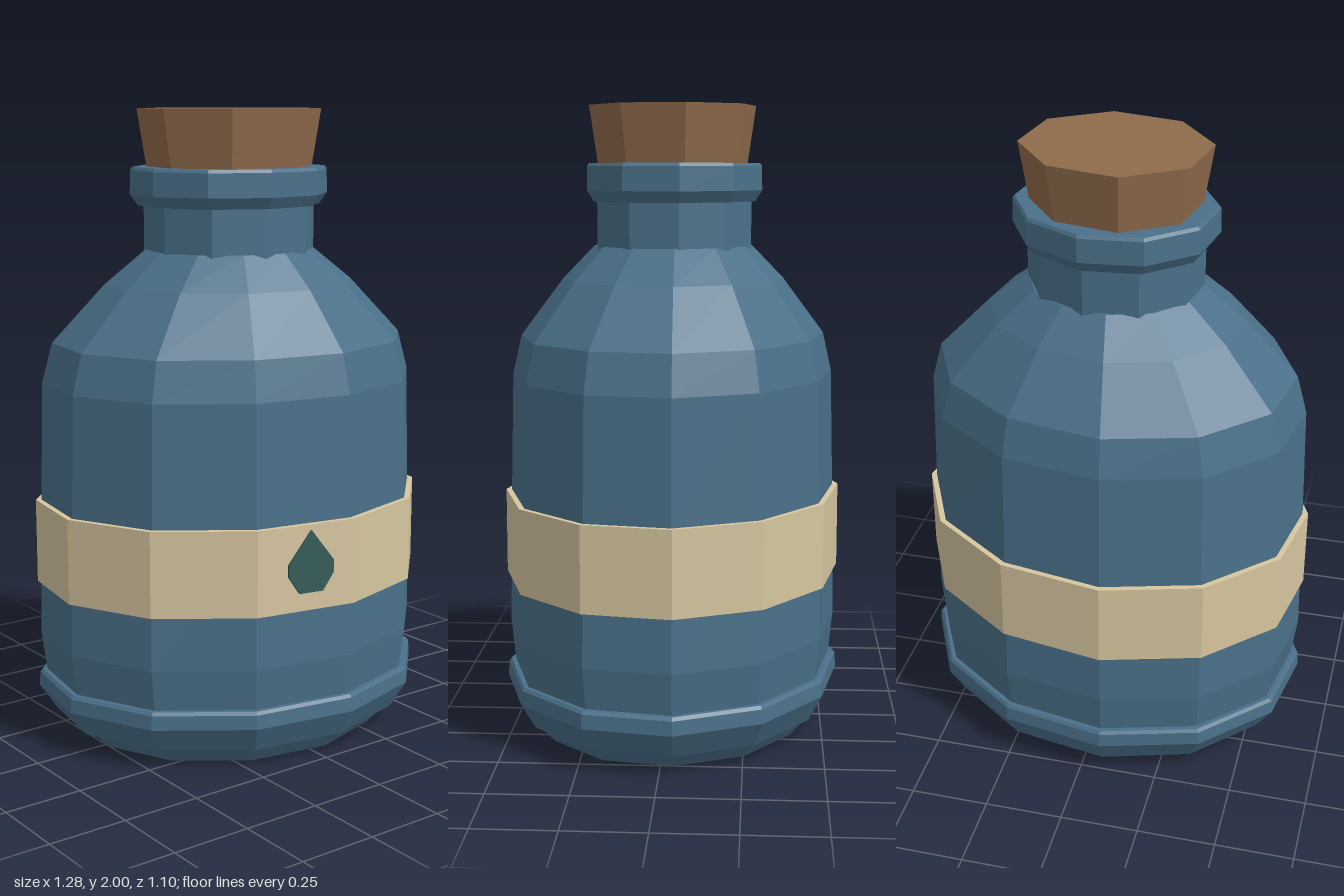
import * as THREE from 'three';

const mat = (name, color) => {
  const m = new THREE.MeshStandardMaterial({ color, flatShading: true });
  m.name = name;
  return m;
};

// Closed faceted solid through elliptical rings [y, radiusX, radiusZ], listed bottom to top.
function loft(rings, sides, offset) {
  const pos = [];
  const pt = ([y, rx, rz], i) => {
    const a = ((i + offset) / sides) * Math.PI * 2;
    return [Math.sin(a) * rx, y, Math.cos(a) * rz];
  };
  const first = rings[0], last = rings[rings.length - 1];
  for (let i = 0; i < sides; i++) {
    for (let k = 0; k < rings.length - 1; k++) {
      const a = pt(rings[k], i), b = pt(rings[k], i + 1);
      const c = pt(rings[k + 1], i + 1), d = pt(rings[k + 1], i);
      pos.push(...a, ...b, ...c, ...a, ...c, ...d);
    }
    pos.push(0, first[0], 0, ...pt(first, i + 1), ...pt(first, i));
    pos.push(0, last[0], 0, ...pt(last, i), ...pt(last, i + 1));
  }
  const g = new THREE.BufferGeometry();
  g.setAttribute('position', new THREE.Float32BufferAttribute(pos, 3));
  g.computeVertexNormals();
  return g;
}

export function createModel() {
  const glass = mat('blue glass', 0x4a7089);
  const cork = mat('brown cork', 0x8f6b4b);
  const paper = mat('cream label', 0xd6c69f);
  const teal = mat('dark teal', 0x365c5a);

  const model = new THREE.Group();
  model.name = 'bottle';
  const bottle = new THREE.Group();
  bottle.name = 'turnedBottle';
  bottle.rotation.y = -0.17;
  bottle.position.z = -0.0115;
  model.add(bottle);

  const add = (name, geometry, material) => {
    const m = new THREE.Mesh(geometry, material);
    m.name = name;
    bottle.add(m);
    return m;
  };

  // Twelve-sided belly with sloping shoulders
  add('body', loft([
    [0, 0.507, 0.434], [0.06, 0.565, 0.48], [0.2, 0.622, 0.515], [0.33, 0.639, 0.528],
    [0.77, 0.628, 0.52], [1.15, 0.617, 0.51], [1.275, 0.583, 0.482],
    [1.455, 0.41, 0.35], [1.56, 0.277, 0.25],
  ], 12, 0.5), glass);

  // Raised ring at the foot
  add('footRing', loft([
    [0.06, 0.59, 0.495], [0.145, 0.648, 0.54], [0.19, 0.645, 0.537], [0.2, 0.636, 0.53],
  ], 12, 0.5), glass);

  // Label band round the belly
  add('labelBand', loft([[0.5, 0.646, 0.538], [0.77, 0.646, 0.538]], 12, 0.5), paper);

  // Ten-sided neck and lip
  add('neck', loft([[1.5, 0.277, 0.253], [1.72, 0.277, 0.253]], 10, 0), glass);
  add('lip', loft([
    [1.7, 0.297, 0.265], [1.735, 0.322, 0.2875], [1.81, 0.32, 0.286], [1.82, 0.313, 0.28],
  ], 10, 0), glass);

  // Eight-sided tapered stopper
  add('stopper', loft([[1.8, 0.264, 0.237], [2, 0.297, 0.266]], 8, 0.5), cork);

  // Drop emblem just in front of the label
  const drop = new THREE.Shape([
    [-0.04, 0.567], [0.04, 0.567], [0.077, 0.622], [0.077, 0.66],
    [0, 0.76], [-0.077, 0.66], [-0.077, 0.622],
  ].map(([x, y]) => new THREE.Vector2(x, y)));
  const emblem = add('dropEmblem',
    new THREE.ExtrudeGeometry(drop, { depth: 0.009, bevelEnabled: false }), teal);
  emblem.position.z = 0.543;

  return model;
}
